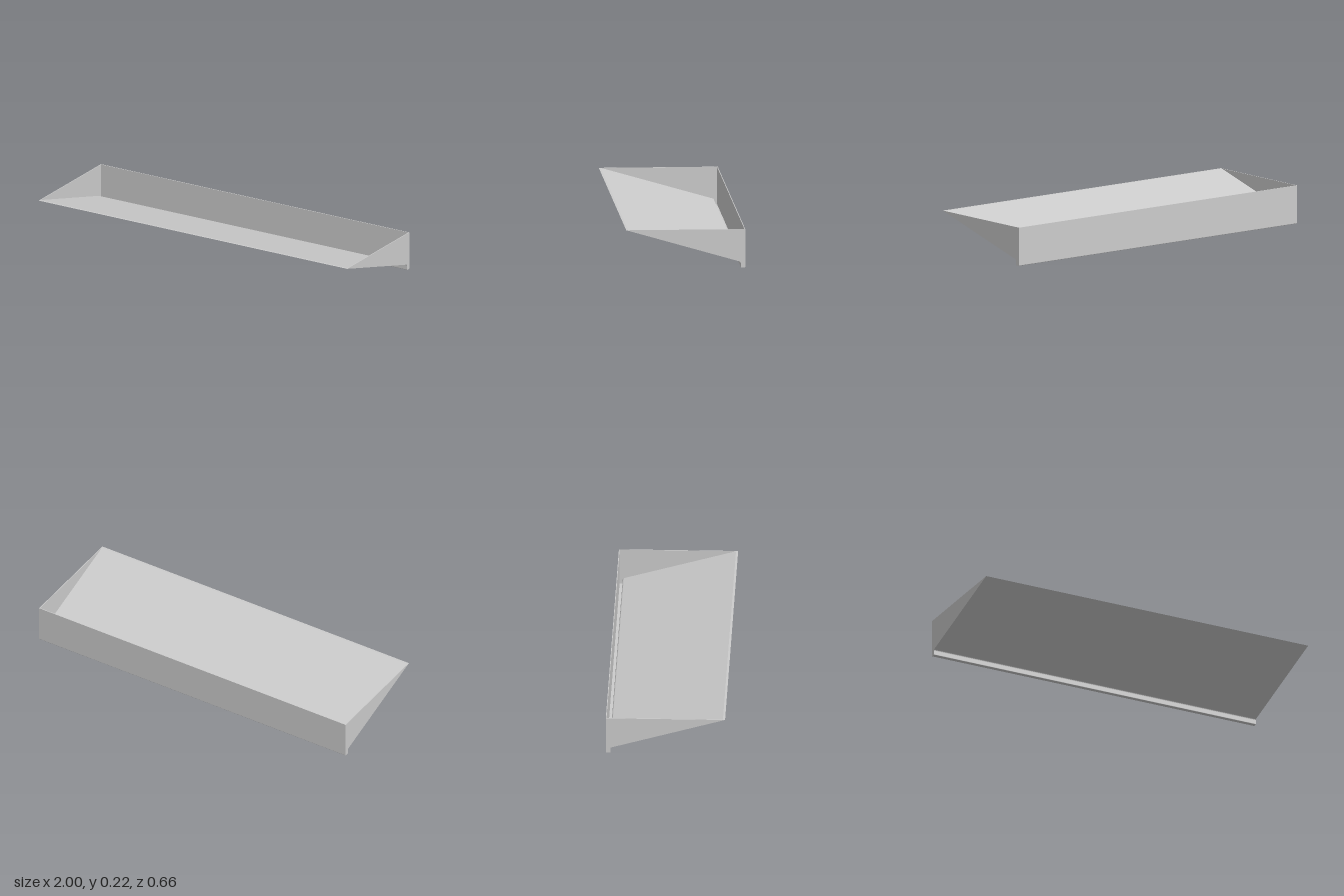
import * as THREE from 'three';

const T = 0.004; // sheet thickness
const material = new THREE.MeshStandardMaterial({ color: 0xcccccc, flatShading: true });

// Extrude a (z, y) section along x, centred on the given x.
function extrudeAlongX(shape, width, x) {
  const geometry = new THREE.ExtrudeGeometry(shape, { depth: width, bevelEnabled: false, curveSegments: 5 });
  geometry.rotateY(-Math.PI / 2);
  geometry.translate(x + width / 2, 0, 0);
  return geometry;
}

// Underside: sloping floor, rounded lip, gutter and back wall.
function traceOutside(shape) {
  shape.moveTo(0.33, 0.217);
  shape.lineTo(-0.298, 0.034);
  shape.quadraticCurveTo(-0.305, 0.032, -0.305, 0.025);
  shape.lineTo(-0.305, 0.004);
  shape.quadraticCurveTo(-0.305, 0, -0.309, 0);
  shape.lineTo(-0.326, 0);
  shape.quadraticCurveTo(-0.33, 0, -0.33, 0.004);
  shape.lineTo(-0.33, 0.215);
  return shape;
}

export function createModel() {
  const group = new THREE.Group();
  const add = (name, geometry) => {
    const mesh = new THREE.Mesh(geometry, material);
    mesh.name = name;
    group.add(mesh);
  };

  // One folded sheet, open at the top
  const sheet = traceOutside(new THREE.Shape());
  sheet.lineTo(-0.33 + T, 0.215);
  sheet.lineTo(-0.33 + T, T);
  sheet.lineTo(-0.305 - T, T);
  sheet.lineTo(-0.305 - T, 0.027);
  sheet.quadraticCurveTo(-0.309, 0.036, -0.299, 0.038);
  sheet.lineTo(0.318, 0.217);
  sheet.closePath();
  add('foldedTray', extrudeAlongX(sheet, 2 - 2 * T, 0));

  // Triangular end walls, closing the gutter too
  const end = traceOutside(new THREE.Shape());
  end.closePath();
  for (const side of [-1, 1]) {
    const label = side > 0 ? 'left' : 'right';
    add(label + 'EndWall', extrudeAlongX(end, T, side * (1 - T / 2)));

    // Shallow tapered pad on the gutter floor
    const pad = new THREE.Shape([
      new THREE.Vector2(-0.055, 0.326), new THREE.Vector2(0.055, 0.326),
      new THREE.Vector2(0.045, 0.309), new THREE.Vector2(-0.045, 0.309),
    ]);
    const padGeometry = new THREE.ExtrudeGeometry(pad, { depth: 0.001, bevelEnabled: false });
    padGeometry.rotateX(-Math.PI / 2);
    padGeometry.translate(side * 0.495, T, 0);
    add(label + 'GutterPad', padGeometry);
  }
  return group;
}
